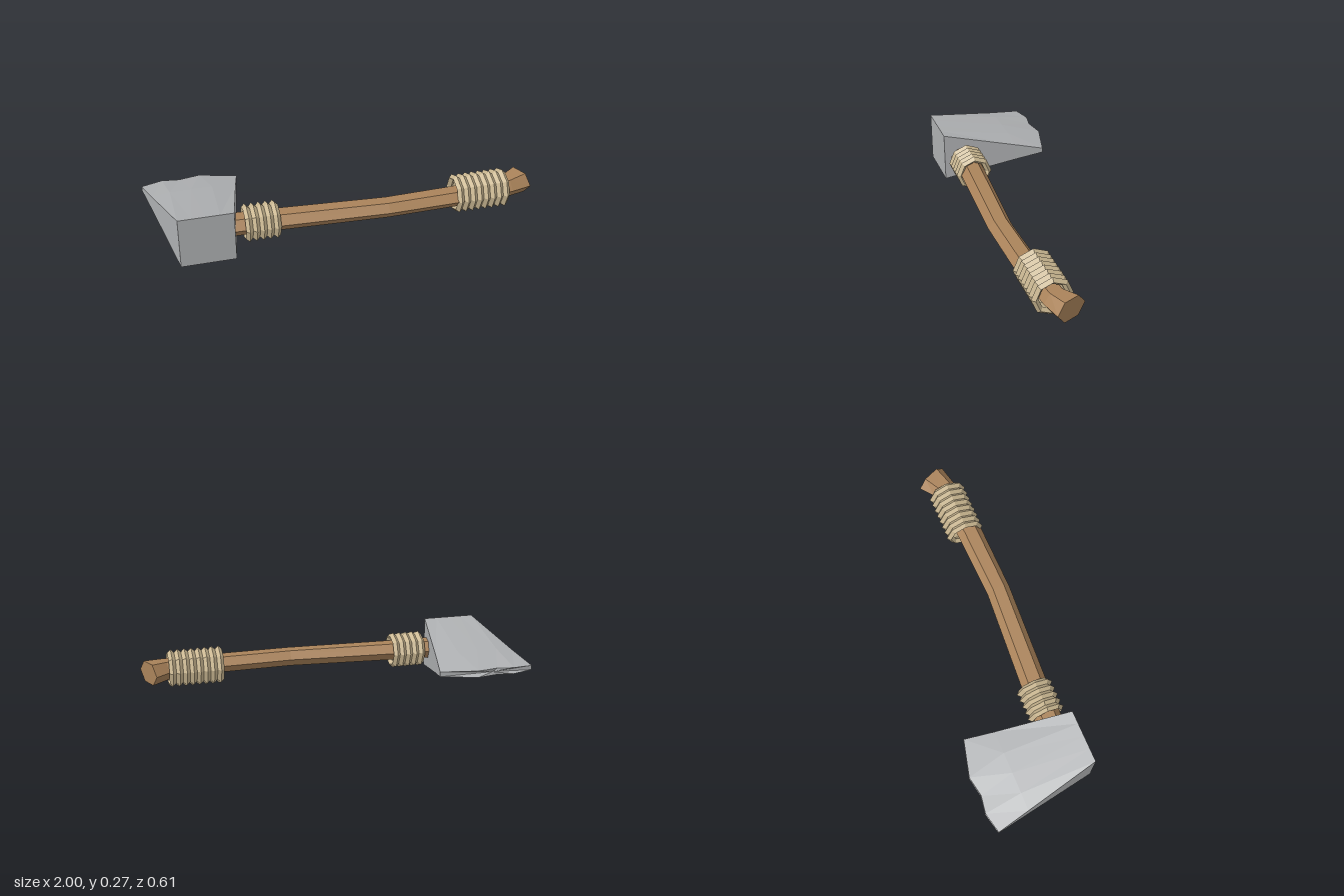
import * as THREE from 'three';

const MID = 0.136; // height of the plane of symmetry

// Skin a list of closed loops of [x, y, z] points and close both ends
function loft(loops) {
  const pos = [];
  const tri = (...pts) => pts.forEach((p) => pos.push(...p));
  const n = loops[0].length;
  const centre = (loop) => [0, 1, 2].map((k) => loop.reduce((s, p) => s + p[k], 0) / n);
  const first = loops[0], last = loops[loops.length - 1];
  for (let i = 0; i < n; i++) {
    const k = (i + 1) % n;
    for (let j = 0; j + 1 < loops.length; j++) {
      const a = loops[j], b = loops[j + 1];
      tri(a[i], a[k], b[k]);
      tri(a[i], b[k], b[i]);
    }
    tri(centre(first), first[k], first[i]);
    tri(centre(last), last[i], last[k]);
  }
  const geo = new THREE.BufferGeometry();
  geo.setAttribute('position', new THREE.Float32BufferAttribute(pos, 3));
  geo.computeVertexNormals();
  return geo;
}

function createModel() {
  const mat = (name, color) => {
    const m = new THREE.MeshStandardMaterial({ color, flatShading: true });
    m.name = name;
    return m;
  };
  const wood = mat('wood', 0xaa835a);
  const metal = mat('metal', 0xaeb0b2);
  const rope = mat('rope', 0xcbb892);

  const model = new THREE.Group();
  model.name = 'axe';
  const add = (name, geo, material, parent = model) => {
    const mesh = new THREE.Mesh(geo, material);
    mesh.name = name;
    parent.add(mesh);
    return mesh;
  };

  // Axe head: rows of [x, z, half height] from the poll to the chipped edge
  const rows = [
    [-0.88, -0.81, -0.74, -0.67, -0.6].map((x) => [x, 0.295, 0.136]),
    [[-0.963, -0.1, 0.047], [-0.87, -0.1, 0.061], [-0.76, -0.1, 0.063], [-0.65, -0.1, 0.061], [-0.527, -0.1, 0.047]],
    [[-1, -0.275, 0.012], [-0.89, -0.3, 0.017], [-0.8, -0.285, 0.018], [-0.69, -0.305, 0.018], [-0.495, -0.255, 0.013]],
  ];
  const headLoops = rows.map((row) => [
    ...row.map(([x, z, h]) => [x, MID + h, z]),
    ...[...row].reverse().map(([x, z, h]) => [x, MID - h, z]),
  ]);
  add('axeHead', loft(headLoops), metal);

  // Bent handle: six-sided sections [back x, back z, front x, front z, half height]
  const sections = [
    [-0.59, 0.118, -0.595, 0.26, 0.047],
    [-0.36, 0.13, -0.37, 0.266, 0.045],
    [0.2, 0.17, 0.2, 0.297, 0.042],
    [0.57, 0.157, 0.58, 0.29, 0.042],
    [0.86, 0.125, 0.89, 0.258, 0.049],
    [0.93, 0.07, 1, 0.232, 0.056],
  ];
  const handleLoops = sections.map(([xb, zb, xf, zf, h]) =>
    Array.from({ length: 6 }, (_, i) => {
      const a = Math.PI / 6 + (i * Math.PI) / 3;
      const t = (1 + Math.sin(a)) / 2;
      const y = MID + (h * Math.cos(a)) / Math.cos(Math.PI / 6);
      return [xb + (xf - xb) * t, y, zb + (zf - zb) * t];
    }));
  add('handle', loft(handleLoops), wood);

  // Rope wraps: touching eight-sided rings with a diamond section
  const wrap = (name, start, count, radius, z) => {
    const group = new THREE.Group();
    group.name = name;
    const ring = new THREE.TorusGeometry(radius - 0.018, 0.018, 4, 8).rotateY(Math.PI / 2);
    for (let i = 0; i < count; i++) {
      add('ropeRing', ring, rope, group).position.set(start + 0.018 + i * 0.036, MID, z);
    }
    model.add(group);
  };
  wrap('headWrap', -0.542, 5, 0.1, 0.191);
  wrap('gripWrap', 0.572, 8, 0.105, 0.198);

  return model;
}

export { createModel };
